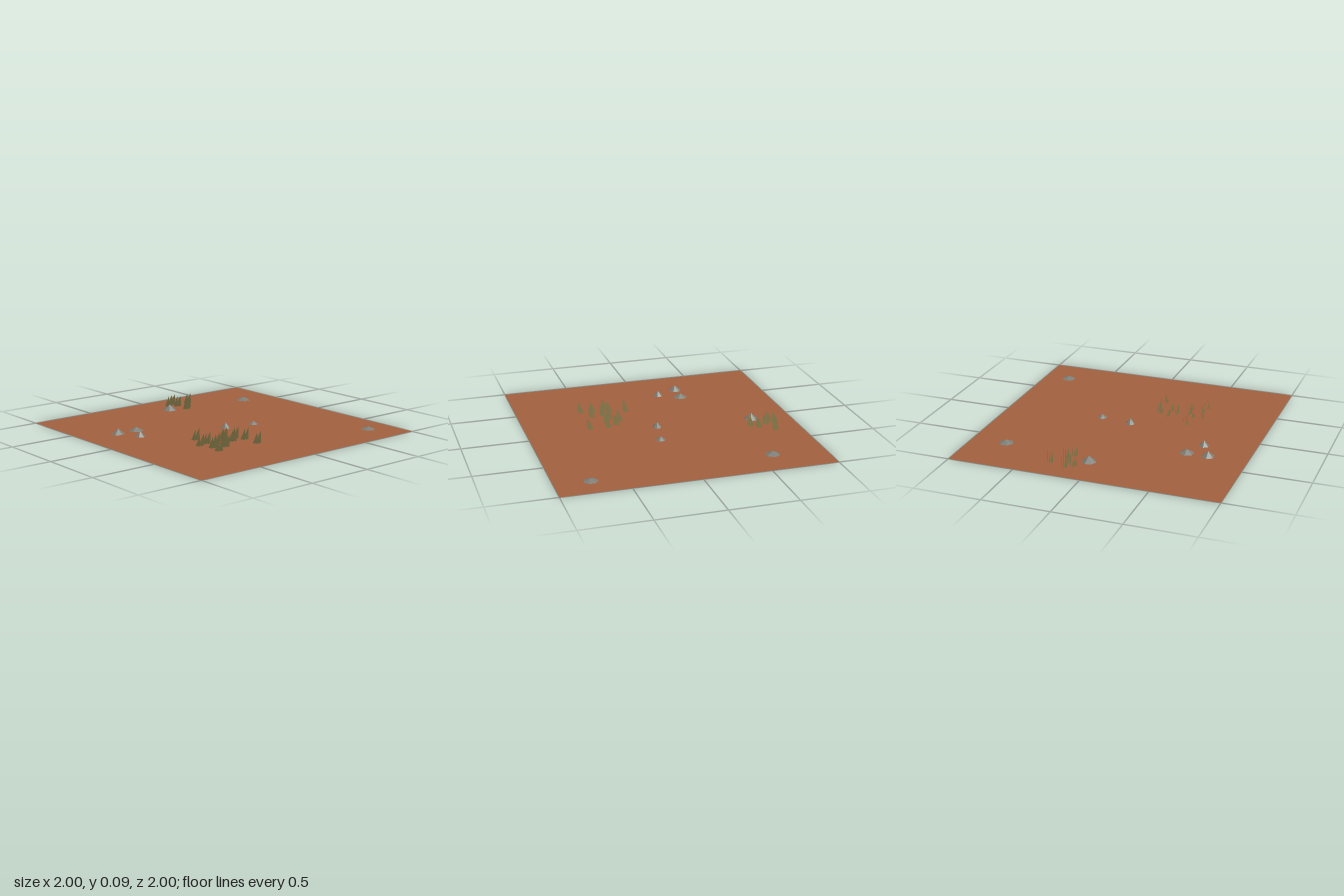
import * as THREE from 'three';

const material = (color, extra = {}) =>
  new THREE.MeshStandardMaterial({ color, flatShading: true, side: THREE.DoubleSide, ...extra });

// Upright triangular blades, nearly parallel, each with its tip over the front end of its base
function tuftGeometry(blades) {
  const points = [];
  for (const [x, z, turn, width, height] of blades) {
    const dx = Math.sin(turn) * width / 2, dz = Math.cos(turn) * width / 2;
    points.push(x - dx, 0, z - dz, x + dx, 0, z + dz, x + dx * 0.9, height, z + dz * 0.9);
  }
  const geometry = new THREE.BufferGeometry();
  geometry.setAttribute('position', new THREE.Float32BufferAttribute(points, 3));
  geometry.computeVertexNormals();
  return geometry;
}

export function createModel() {
  const model = new THREE.Group();
  model.name = 'desertGround';

  // Flat square of soil
  const ground = new THREE.Mesh(new THREE.PlaneGeometry(2, 2), material(0xa0603e));
  ground.name = 'ground';
  ground.rotation.x = -Math.PI / 2;
  model.add(ground);

  // Low faceted stones: x, z, radius, height, sides, turn
  const stones = new THREE.Group();
  stones.name = 'stones';
  const stoneMaterial = material(0x7d7d76);
  const stoneData = [
    [0.05, -0.70, 0.053, 0.045, 7, 0.2],
    [0.735, -0.605, 0.056, 0.025, 6, 0.5],
    [-0.71, -0.33, 0.049, 0.04, 6, 0],
    [-0.55, -0.325, 0.054, 0.03, 6, 0],
    [-0.63, -0.165, 0.038, 0.04, 6, 0.1],
    [0.01, 0.035, 0.035, 0.044, 6, 0.3],
    [0.25, 0.077, 0.038, 0.025, 6, 0],
    [0.805, 0.74, 0.055, 0.02, 6, 0],
  ];
  for (const [x, z, radius, height, sides, turn] of stoneData) {
    const stone = new THREE.Mesh(new THREE.ConeGeometry(radius, height, sides, 1, true), stoneMaterial);
    stone.name = 'stone';
    stone.position.set(x, height / 2, z);
    stone.rotation.y = turn;
    stones.add(stone);
  }
  model.add(stones);

  // Dry grass tufts in a front and a back patch
  const grass = new THREE.Group();
  grass.name = 'grass';
  const grassMaterial = material(0x857848);
  const blades = tuftGeometry([
    [-0.019, 0.002, 0.22, 0.04, 0.085],
    [-0.008, -0.004, -0.2, 0.042, 0.07],
    [0.004, 0.004, 0.25, 0.04, 0.078],
    [0.017, -0.002, 0.28, 0.042, 0.088],
  ]);
  const tuftSpots = [
    [-0.45, 0.51], [-0.43, 0.42], [-0.34, 0.45], [-0.35, 0.36], [-0.465, 0.32],
    [-0.39, 0.30], [-0.385, 0.17], [-0.255, 0.33], [-0.20, 0.365], [-0.205, 0.265],
    [-0.135, 0.31], [-0.10, 0.38], [-0.105, 0.52],
    [0.18, -0.65], [0.225, -0.70], [0.18, -0.845], [0.125, -0.81], [0.18, -0.77], [0.305, -0.80],
  ];
  for (const [x, z] of tuftSpots) {
    const tuft = new THREE.Mesh(blades, grassMaterial);
    tuft.name = 'grassTuft';
    tuft.position.set(x, 0, z);
    grass.add(tuft);
  }
  model.add(grass);

  return model;
}
